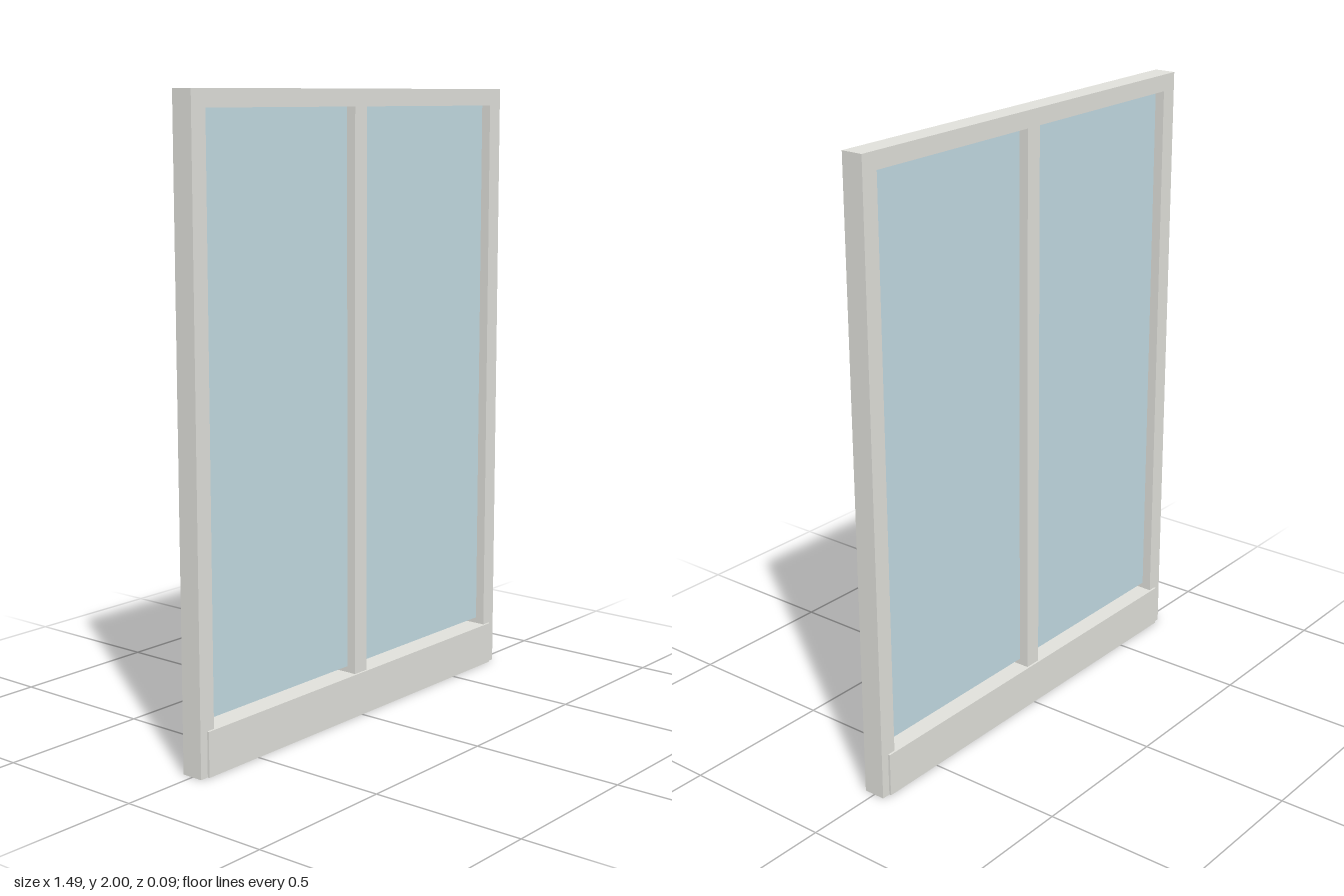
import * as THREE from 'three';

const WIDTH = 1.486, HEIGHT = 2, DEPTH = 0.072;
const OPEN_INNER = 0.029, OPEN_OUTER = 0.686; // opening limits in x, mirrored
const OPEN_BOTTOM = 0.142, OPEN_TOP = 1.946;
const GLASS_BOTTOM = 0.162;

// Adds a rectangle's corners to a shape or path
function rectangle(path, x0, y0, x1, y1) {
  path.moveTo(x0, y0);
  path.lineTo(x1, y0);
  path.lineTo(x1, y1);
  path.lineTo(x0, y1);
  path.closePath();
  return path;
}

export function createModel() {
  const group = new THREE.Group();
  group.name = 'doubleWindow';

  const frameMaterial = new THREE.MeshStandardMaterial({ color: 0xe2e2dc });
  frameMaterial.name = 'off-white frame';
  const glassMaterial = new THREE.MeshStandardMaterial({ color: 0xc4dce4 });
  glassMaterial.name = 'pale blue glass';

  const add = (name, geometry, material, x, y, z) => {
    const mesh = new THREE.Mesh(geometry, material);
    mesh.name = name;
    mesh.position.set(x, y, z);
    group.add(mesh);
  };

  // Frame with centre mullion and bottom rail, cut by two openings
  const outline = rectangle(new THREE.Shape(), -WIDTH / 2, 0, WIDTH / 2, HEIGHT);
  outline.holes.push(
    rectangle(new THREE.Path(), -OPEN_OUTER, OPEN_BOTTOM, -OPEN_INNER, OPEN_TOP),
    rectangle(new THREE.Path(), OPEN_INNER, OPEN_BOTTOM, OPEN_OUTER, OPEN_TOP)
  );
  const frame = new THREE.ExtrudeGeometry(outline, { depth: DEPTH, bevelEnabled: false });
  add('frame', frame, frameMaterial, 0, 0, -DEPTH / 2);

  // Kick plates on the front and back of the bottom rail
  const plateDepth = 0.007;
  const plate = new THREE.BoxGeometry(1.43, OPEN_BOTTOM, plateDepth);
  for (const [name, side] of [['frontKickPlate', 1], ['backKickPlate', -1]]) {
    add(name, plate, frameMaterial, 0, OPEN_BOTTOM / 2, side * (DEPTH + plateDepth) / 2);
  }

  // Glass panes, stopping just short of the bottom rail
  const pane = new THREE.BoxGeometry(OPEN_OUTER - OPEN_INNER, OPEN_TOP - GLASS_BOTTOM, 0.008);
  for (const [name, side] of [['leftGlass', 1], ['rightGlass', -1]]) {
    add(name, pane, glassMaterial, side * (OPEN_OUTER + OPEN_INNER) / 2, (OPEN_TOP + GLASS_BOTTOM) / 2, 0);
  }

  return group;
}
